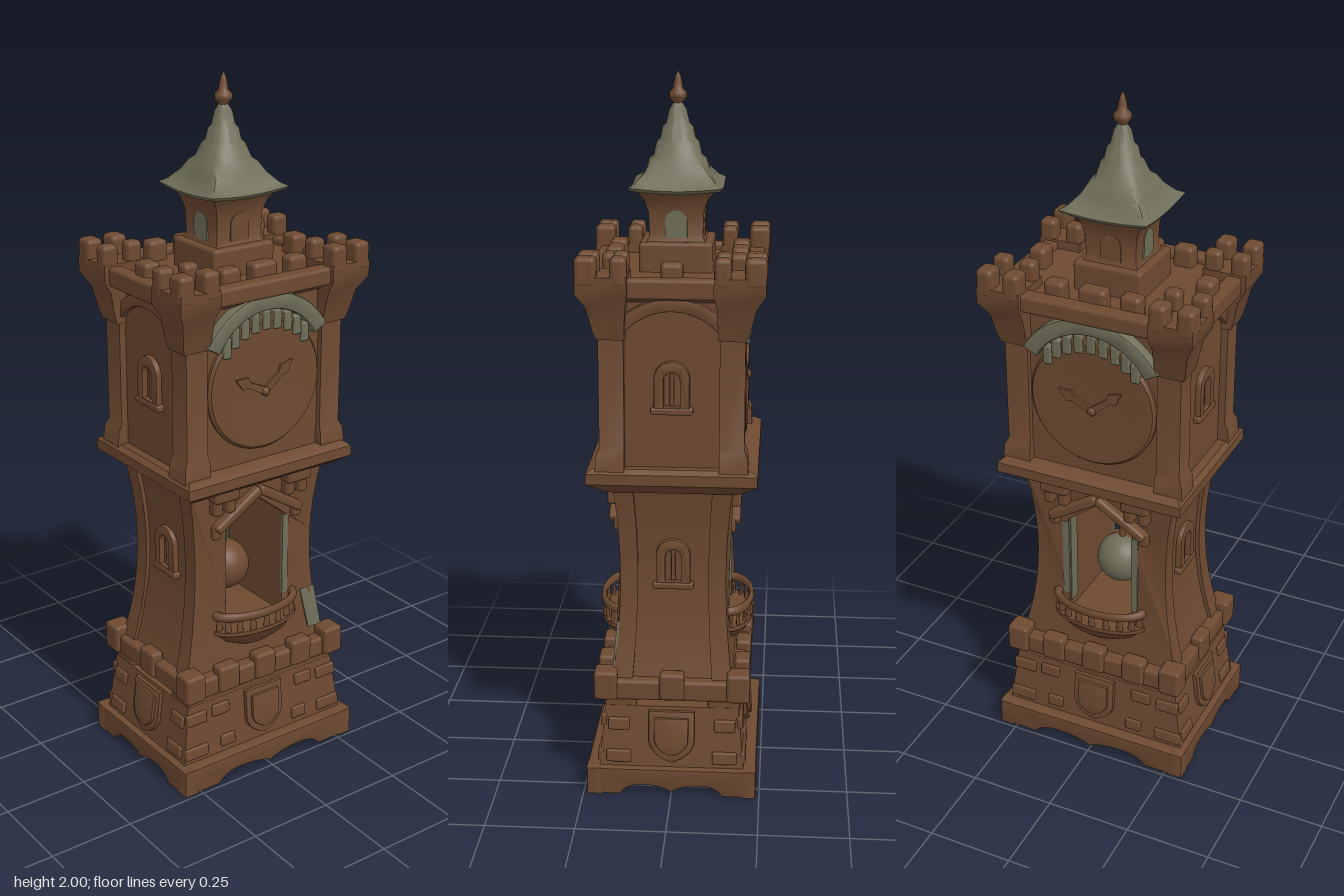
import * as THREE from 'three';
import { toCreasedNormals } from 'three/addons/utils/BufferGeometryUtils.js';
import { RoundedBoxGeometry } from 'three/addons/geometries/RoundedBoxGeometry.js';

const wood = new THREE.MeshStandardMaterial({ color: 0x6e4a31 });
wood.name = 'brown wood';
const slate = new THREE.MeshStandardMaterial({ color: 0x6f6e59 });
slate.name = 'grey green slate';

const V = (x, y) => new THREE.Vector2(x, y);
const crease = (g, a = 0.6) => toCreasedNormals(g, a);

function add(parent, name, geo, mat = wood, x = 0, y = 0, z = 0) {
  const m = new THREE.Mesh(geo, mat);
  m.name = name;
  m.position.set(x, y, z);
  parent.add(m);
  return m;
}

// Softly rounded block
const block = (w, h, d, r = 0.01) => new RoundedBoxGeometry(w, h, d, 2, Math.min(r, w / 3, h / 3, d / 3));

// Rectangular column through rows of [y, halfX, halfZ, centreX, centreZ]
function loft(rows) {
  const n = rows.length - 1;
  const g = new THREE.BoxGeometry(2, 1, 2, 1, n, 1);
  const p = g.attributes.position;
  for (let i = 0; i < p.count; i++) {
    const [y, hx, hz, cx = 0, cz = 0] = rows[Math.round((p.getY(i) + 0.5) * n)];
    p.setXYZ(i, cx + p.getX(i) * hx, y, cz + p.getZ(i) * hz);
  }
  return crease(g);
}

function extrude(shape, depth, bevel = 0) {
  return crease(new THREE.ExtrudeGeometry(shape, {
    depth, curveSegments: 14, bevelEnabled: bevel > 0,
    bevelSize: bevel, bevelThickness: bevel, bevelOffset: -bevel, bevelSegments: 2,
  }));
}

// Round-headed outline standing on y0
function archShape(hw, h, Kind = THREE.Shape, y0 = 0) {
  const s = new Kind();
  s.moveTo(-hw, y0).lineTo(hw, y0).lineTo(hw, h - hw);
  s.absarc(0, h - hw, hw, 0, Math.PI, false);
  s.lineTo(-hw, y0);
  return s;
}

function ringShape(cy, r0, r1, a) {
  const s = new THREE.Shape();
  s.absarc(0, cy, r1, a, Math.PI - a, false);
  s.absarc(0, cy, r0, Math.PI - a, a, true);
  s.closePath();
  return s;
}

function shieldShape(k) {
  const s = new THREE.Shape();
  s.moveTo(-0.06 * k, 0.065 * k).lineTo(0.06 * k, 0.065 * k).lineTo(0.06 * k, -0.02 * k);
  s.quadraticCurveTo(0.05 * k, -0.06 * k, 0, -0.075 * k);
  s.quadraticCurveTo(-0.05 * k, -0.06 * k, -0.06 * k, -0.02 * k);
  s.closePath();
  return s;
}

// Hourglass curves of the waist
const waistX = (y) => 0.204 + 0.032 * ((y - 0.65) / 0.27) ** 2;
const waistZ = (y) => 0.148 + 0.017 * ((y - 0.63) / 0.27) ** 2;

function waistSlab(inset, z0, z1) {
  const pts = [];
  for (let i = 0; i <= 12; i++) pts.push(V(waistX(0.33 + i * 0.05) - inset, 0.33 + i * 0.05));
  const mirrored = (a) => a.map((p) => V(-p.x, p.y)).reverse();
  const s = new THREE.Shape([...pts, ...mirrored(pts)]);
  const jamb = [0.44, 0.52, 0.6, 0.68, 0.76].map((y) => V(0.1, y));
  s.holes.push(new THREE.Path([...jamb, V(0, 0.84), ...mirrored(jamb)]));
  const g = new THREE.ExtrudeGeometry(s, { depth: z1 - z0, bevelEnabled: false });
  g.translate(0, 0, z0);
  const p = g.attributes.position;
  for (let i = 0; i < p.count; i++) p.setZ(i, p.getZ(i) * waistZ(p.getY(i)) / 0.15);
  return crease(g);
}

// Plinth board with a shallow scalloped lower edge
function plinthBoard(hw) {
  const s = new THREE.Shape();
  s.moveTo(-hw, 0.08).lineTo(-hw, 0).lineTo(-hw * 0.6, 0);
  s.quadraticCurveTo(-hw * 0.52, 0.034, -hw * 0.3, 0.03);
  s.quadraticCurveTo(-hw * 0.12, 0.028, 0, 0.01);
  s.quadraticCurveTo(hw * 0.12, 0.028, hw * 0.3, 0.03);
  s.quadraticCurveTo(hw * 0.52, 0.034, hw * 0.6, 0);
  s.lineTo(hw, 0).lineTo(hw, 0.08);
  s.closePath();
  return extrude(s, 0.035, 0.006);
}

// Sloping base panel with a shield and stones
function basePanel(z, tilt, stones) {
  const panel = new THREE.Group();
  panel.name = 'basePanel';
  panel.position.set(0, 0.165, z);
  panel.rotation.x = -tilt;
  add(panel, 'shieldRim', extrude(shieldShape(1.08), 0.008, 0.004), wood, 0, 0.012, 0);
  add(panel, 'shield', extrude(shieldShape(0.8), 0.008, 0.004), wood, 0, 0.012, 0.009);
  for (const s of [-1, 1]) for (const [x, y, w] of stones)
    add(panel, 'baseStone', block(w, 0.036, 0.016), wood, s * x, y, 0);
  return panel;
}

// Everything that appears on both the front and the back
function buildFace() {
  const f = new THREE.Group();
  add(f, 'plinthBoard', plinthBoard(0.305), wood, 0, 0, 0.199);
  f.add(basePanel(0.197, 0.085, [[0.235, 0.05, 0.07], [0.15, 0.055, 0.06], [0.24, -0.055, 0.08], [0.13, -0.05, 0.05]]));

  // Lower battlement
  for (const x of [-0.13, 0, 0.13]) add(f, 'lowerMerlon', block(0.07, 0.08, 0.045), wood, x, 0.322, 0.195);

  // Waist frame, gable and corbels
  add(f, 'waistFrame', waistSlab(0, 0.1, 0.15));
  add(f, 'jambStrip', new THREE.BoxGeometry(0.006, 0.29, 0.04), slate, -0.099, 0.615, 0.127);
  add(f, 'frameStrip', new THREE.BoxGeometry(0.02, 0.25, 0.009), slate, 0.109, 0.625, 0.15);
  for (const s of [-1, 1]) {
    add(f, 'gableBeam', block(0.175, 0.028, 0.05), wood, s * 0.073, 0.82, 0.16).rotation.z = -s * 0.56;
    add(f, 'corbel', block(0.085, 0.04, 0.06), wood, s * 0.125, 0.885, 0.17);
    for (const d of [-0.022, 0.022]) add(f, 'corbelFoot', block(0.03, 0.055, 0.045), wood, s * 0.125 + d, 0.85, 0.165);
    add(f, 'gableEnd', block(0.03, 0.045, 0.04), wood, s * 0.14, 0.765, 0.152);
  }

  // Balcony
  const balcony = new THREE.Group();
  balcony.name = 'balcony';
  balcony.position.z = 0.148;
  balcony.scale.z = 0.5;
  f.add(balcony);
  const bowl = [V(0, 0.38), V(0.06, 0.385), V(0.11, 0.41), V(0.135, 0.435), V(0.145, 0.44), V(0.145, 0.452), V(0, 0.452)];
  add(balcony, 'balconyBowl', crease(new THREE.LatheGeometry(bowl, 24, -Math.PI / 2, Math.PI)));
  const rail = new THREE.TorusGeometry(0.136, 0.014, 8, 24, Math.PI).rotateX(Math.PI / 2);
  add(balcony, 'balconyRail', rail, wood, 0, 0.498, 0);
  for (let i = 0; i < 9; i++) {
    const a = (i + 0.5) * Math.PI / 9;
    add(balcony, 'baluster', new THREE.CylinderGeometry(0.008, 0.012, 0.05, 8), wood, 0.13 * Math.cos(a), 0.472, 0.13 * Math.sin(a));
  }

  // Clock dial and hands
  const dial = [V(0.187, 0), V(0.187, 0.01), V(0.18, 0.018), V(0.165, 0.019), V(0.12, 0.015), V(0, 0.013)];
  add(f, 'dial', crease(new THREE.LatheGeometry(dial, 48).rotateX(Math.PI / 2)), wood, 0, 1.185, 0.178);
  for (const [x, y] of [[-0.1, 0.05], [0.09, 0.075]]) {
    const len = Math.hypot(x, y);
    const hand = new THREE.Shape([V(-0.01, -0.012), V(len * 0.55, -0.008), V(len * 0.68, -0.018), V(len, 0), V(len * 0.68, 0.018), V(len * 0.55, 0.008), V(-0.01, 0.012)]);
    add(f, 'clockHand', extrude(hand, 0.012), wood, 0, 1.165, 0.187).rotation.z = Math.atan2(y, x);
  }
  add(f, 'handPin', new THREE.SphereGeometry(0.014, 12, 8), wood, 0, 1.165, 0.193);

  // Arched hood with a toothed fringe
  add(f, 'hood', extrude(ringShape(1.215, 0.182, 0.228, 0.5), 0.028, 0.008), slate, 0, 0, 0.174);
  for (let i = -4; i <= 4; i++) {
    const a = i * 0.21;
    add(f, 'hoodTooth', block(0.026, 0.056, 0.024, 0.006), slate, Math.sin(a) * 0.174, 1.195 + Math.cos(a) * 0.174, 0.192);
    if (i < 4) add(f, 'toothLink', block(0.034, 0.022, 0.018, 0.005), wood, Math.sin(a + 0.105) * 0.168, 1.203 + Math.cos(a + 0.105) * 0.168, 0.19);
  }

  // Crown wall
  add(f, 'crownWall', block(0.4, 0.05, 0.05), wood, 0, 1.465, 0.212);
  for (const [x, w] of [[-0.11, 0.06], [0, 0.08], [0.11, 0.06]]) add(f, 'crownMerlon', block(w, 0.07, 0.048, 0.014), wood, x, 1.492, 0.173);
  return f;
}

// Window with a round-headed frame and a sill, facing +z
function sideWindow() {
  const w = new THREE.Group();
  w.name = 'sideWindow';
  const s = archShape(0.048, 0.14);
  s.holes.push(archShape(0.022, 0.11, THREE.Path, 0.015));
  add(w, 'windowFrame', extrude(s, 0.016, 0.003));
  add(w, 'windowSill', block(0.115, 0.02, 0.028, 0.006), wood, 0, 0.003, 0.008);
  add(w, 'windowBar', block(0.012, 0.09, 0.01, 0.003), wood, 0, 0.06, 0.004);
  return w;
}

export function createModel() {
  const g = new THREE.Group();
  g.name = 'towerClock';

  for (const [name, r] of [['frontFace', 0], ['backFace', Math.PI]]) {
    const f = buildFace();
    f.name = name;
    f.rotation.y = r;
    g.add(f);
  }

  // Base
  add(g, 'plinthTop', block(0.59, 0.035, 0.46), wood, 0, 0.063, 0);
  add(g, 'base', loft([[0.07, 0.285, 0.205], [0.257, 0.26, 0.189]]));
  for (const s of [-1, 1]) add(g, 'baseTopBar', block(0.52, 0.04, 0.09), wood, 0, 0.27, s * 0.146);
  add(g, 'lowerLedge', block(0.535, 0.06, 0.41), wood, 0, 0.306, 0);

  // Waist core, worn corner and pendulum with its slate back half
  add(g, 'waistCore', waistSlab(0.012, -0.11, 0.11));
  const worn = new THREE.Shape([V(0.19, 0.365), V(0.236, 0.365), V(0.216, 0.495), V(0.165, 0.495)]);
  add(g, 'wornPatch', extrude(worn, 0.008), slate, 0, 0, 0.194).rotation.x = -0.09;
  add(g, 'backFrameStrip', new THREE.BoxGeometry(0.02, 0.25, 0.009), slate, 0.109, 0.625, -0.15);
  add(g, 'pendulumRod', new THREE.CylinderGeometry(0.009, 0.009, 0.24, 10), wood, 0, 0.73, 0);
  add(g, 'bobFront', new THREE.SphereGeometry(0.075, 20, 18, 0, Math.PI), wood, 0, 0.565, 0);
  add(g, 'bobBack', new THREE.SphereGeometry(0.075, 20, 18, Math.PI, Math.PI), slate, 0, 0.565, 0);

  // Cornice and clock case
  add(g, 'cornice', loft([[0.885, 0.235, 0.18], [0.91, 0.265, 0.22], [0.92, 0.28, 0.233], [0.95, 0.28, 0.233], [0.962, 0.265, 0.215]]));
  add(g, 'clockCase', loft([[0.95, 0.24, 0.18], [1.45, 0.24, 0.18]]));
  add(g, 'deck', loft([[1.42, 0.25, 0.19], [1.44, 0.275, 0.215], [1.47, 0.275, 0.215]]));

  for (const s of [-1, 1]) {
    // Sides
    const side = new THREE.Group();
    side.name = s > 0 ? 'leftSide' : 'rightSide';
    side.rotation.y = s * Math.PI / 2;
    g.add(side);
    add(side, 'plinthBoard', plinthBoard(0.24), wood, 0, 0, 0.264);
    add(side, 'sideMerlon', block(0.07, 0.08, 0.04), wood, 0, 0.322, 0.258);
    side.add(basePanel(0.273, 0.133, [[0.15, 0.04, 0.06], [0.15, -0.055, 0.07]]));
    const low = sideWindow(), high = sideWindow();
    low.position.set(0, 0.6, 0.191);
    high.position.set(0, 1.12, 0.238);
    side.add(low, high);
    add(side, 'sideArch', extrude(ringShape(1.23, 0.165, 0.2, 0.6), 0.018, 0.004), wood, 0, 0, 0.236);
    add(side, 'sideCrownWall', block(0.24, 0.055, 0.045), wood, 0, 1.462, 0.276);
    add(side, 'crownMerlon', block(0.06, 0.07, 0.052, 0.014), wood, 0, 1.492, 0.247);

    // Corners
    for (const t of [-1, 1]) {
      add(g, 'lowerCornerMerlon', block(0.065, 0.085, 0.065), wood, s * 0.248, 0.322, t * 0.187);
      const c = (y, hx, hz, x, z) => [y, hx, hz, s * x, t * z];
      add(g, 'cornerPillar', loft([c(0.95, 0.042, 0.04, 0.232, 0.168), c(1.0, 0.04, 0.038, 0.23, 0.166), c(1.02, 0.034, 0.034, 0.226, 0.162), c(1.34, 0.034, 0.034, 0.226, 0.162)]));
      add(g, 'cornerTurret', loft([c(1.32, 0.04, 0.038, 0.228, 0.162), c(1.345, 0.044, 0.042, 0.232, 0.166), c(1.41, 0.05, 0.052, 0.238, 0.172), c(1.45, 0.063, 0.068, 0.248, 0.181), c(1.495, 0.063, 0.068, 0.248, 0.181)]));
      for (const [x, z, w, d] of [[0.288, 0.222, 0.05, 0.058], [0.21, 0.222, 0.05, 0.058], [0.288, 0.136, 0.05, 0.045], [0.21, 0.136, 0.048, 0.042]])
        add(g, 'turretMerlon', block(w, 0.08, d, 0.014), wood, s * x, 1.508, t * z);
    }
  }

  // Cupola
  add(g, 'cupolaStep', block(0.2, 0.09, 0.2), wood, 0, 1.505, 0);
  add(g, 'cupola', loft([[1.54, 0.085, 0.085], [1.565, 0.072, 0.072], [1.63, 0.075, 0.075], [1.665, 0.086, 0.086], [1.695, 0.11, 0.11]]));
  for (let i = 0; i < 4; i++) {
    const pivot = new THREE.Group();
    pivot.name = 'cupolaWindow';
    pivot.rotation.y = i * Math.PI / 2;
    g.add(pivot);
    add(pivot, 'cupolaPane', extrude(archShape(0.03, 0.075), 0.006), i % 2 ? slate : wood, 0, 1.56, 0.071);
  }

  // Roof: square eaves with lifted corners melting into a round tiered spire
  const prof = [[0, 1.683], [0.12, 1.683], [0.126, 1.692], [0.108, 1.703], [0.088, 1.735], [0.078, 1.765], [0.066, 1.775], [0.058, 1.81], [0.048, 1.82], [0.042, 1.85], [0.032, 1.86], [0.024, 1.895], [0.012, 1.915]];
  const roof = new THREE.LatheGeometry(prof.map(([x, y]) => V(x, y)), 32);
  const p = roof.attributes.position;
  for (let i = 0; i < p.count; i++) {
    const x = p.getX(i), y = p.getY(i), z = p.getZ(i), m = Math.max(Math.abs(x), Math.abs(z));
    const square = m > 1e-6 ? Math.hypot(x, z) / m : 1;
    const k = THREE.MathUtils.lerp(square, 1, THREE.MathUtils.smoothstep(y, 1.69, 1.84));
    const lift = 0.02 * (square - 1) * (1 - THREE.MathUtils.smoothstep(y, 1.69, 1.76));
    p.setXYZ(i, x * k, y + lift, z * k);
  }
  add(g, 'roof', crease(roof, 1.1), slate);
  const finial = [V(0, 1.9), V(0.013, 1.905), V(0.013, 1.915), V(0.024, 1.928), V(0.024, 1.94), V(0.013, 1.952), V(0.012, 1.965), V(0.007, 1.985), V(0, 2)];
  add(g, 'finial', new THREE.LatheGeometry(finial, 16));
  return g;
}
